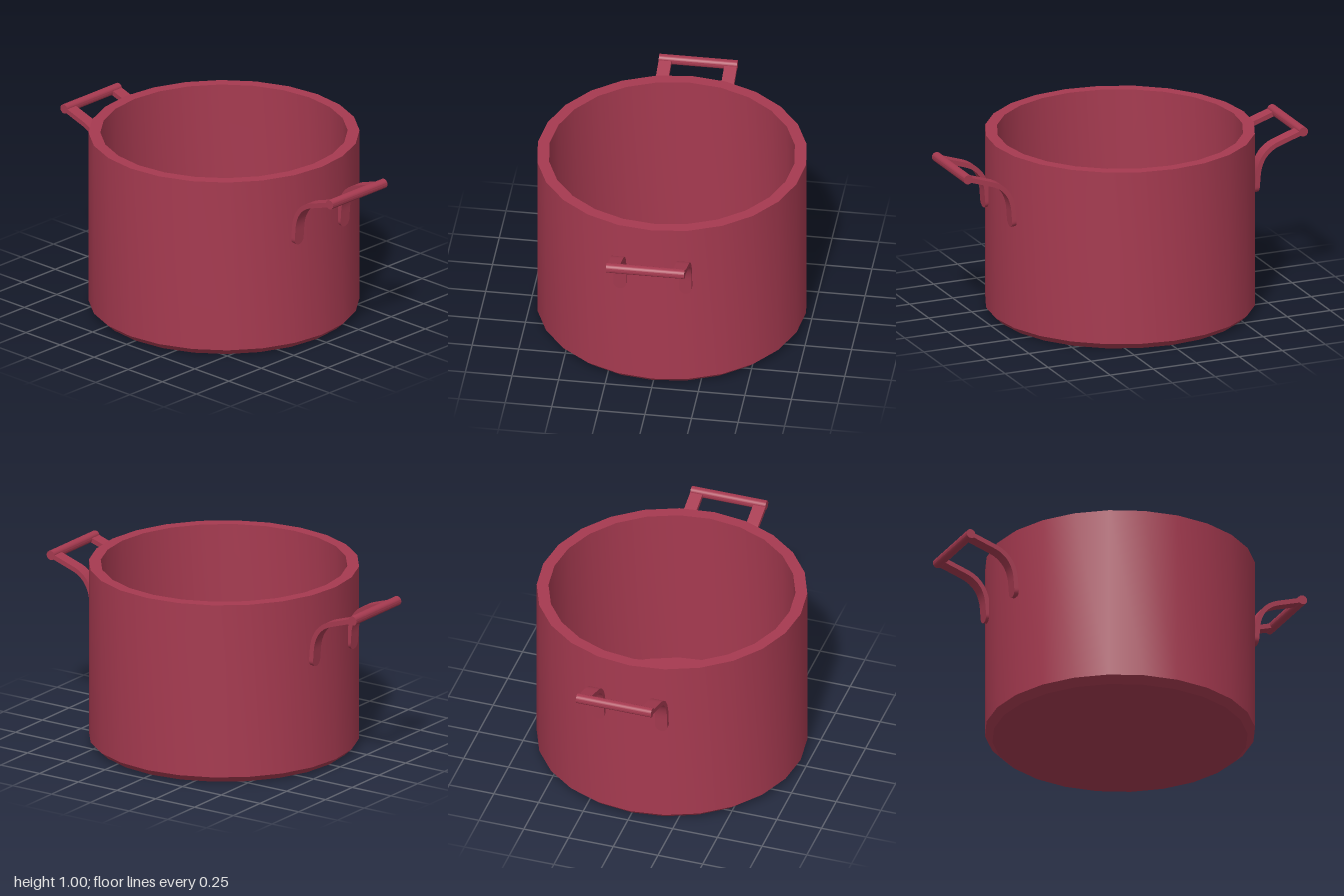
import * as THREE from 'three';
import { toCreasedNormals } from 'three/addons/utils/BufferGeometryUtils.js';

const red = new THREE.MeshStandardMaterial({ color: 0xa63a50 });

function part(name, geometry, crease = 0.6) {
  const mesh = new THREE.Mesh(toCreasedNormals(geometry, crease), red);
  mesh.name = name;
  return mesh;
}

// Flat strap: a box bent along a side profile, with a rounded lower end
function strapGeometry(z) {
  const width = 0.068, thick = 0.026, steps = 28;
  const path = new THREE.CurvePath();
  const v = (x, y) => new THREE.Vector3(x, y, 0);
  path.add(new THREE.LineCurve3(v(0.704, 0.607), v(0.711, 0.70)));
  path.add(new THREE.CubicBezierCurve3(v(0.711, 0.70), v(0.717, 0.79), v(0.762, 0.845), v(0.832, 0.868)));
  path.add(new THREE.LineCurve3(v(0.832, 0.868), v(0.972, 0.914)));
  const length = path.getLength();
  const geo = new THREE.BoxGeometry(thick, 1, width, 1, steps, 1);
  const pos = geo.attributes.position;
  for (let i = 0; i < pos.count; i++) {
    // denser rows toward the rounded end
    const t = Math.pow(THREE.MathUtils.clamp(pos.getY(i) + 0.5, 0, 1), 1.5);
    const p = path.getPointAt(t), d = path.getTangentAt(t);
    const k = Math.min(1, (t * length) / (width / 2));
    const taper = Math.max(0.08, Math.sqrt(1 - (1 - k) ** 2));
    const off = pos.getX(i);
    pos.setXYZ(i, p.x + d.y * off, p.y - d.x * off, z + pos.getZ(i) * taper);
  }
  return geo;
}

function createHandle(name) {
  const handle = new THREE.Group();
  handle.name = name;
  for (const side of [1, -1]) {
    handle.add(part(side > 0 ? 'frontStrap' : 'backStrap', strapGeometry(side * 0.176)));
  }
  // Grip bar joining the two straps
  const grip = part('grip', new THREE.CylinderGeometry(0.026, 0.026, 0.42, 16).rotateX(Math.PI / 2));
  grip.position.set(0.974, 0.915, 0);
  handle.add(grip);
  return handle;
}

export function createModel() {
  const pot = new THREE.Group();
  pot.name = 'cookingPot';

  // Thick-walled vessel with a bevelled base, flat rim and flat inner floor
  const profile = [
    [0, 0], [0.68, 0], [0.72, 0.037], [0.72, 1],
    [0.657, 1], [0.657, 0.06], [0, 0.06],
  ].map(([x, y]) => new THREE.Vector2(x, y));
  pot.add(part('vessel', new THREE.LatheGeometry(profile, 24)));

  // Two matching side handles
  const left = createHandle('leftHandle');
  const right = createHandle('rightHandle');
  right.rotation.y = Math.PI;
  pot.add(left, right);
  return pot;
}
